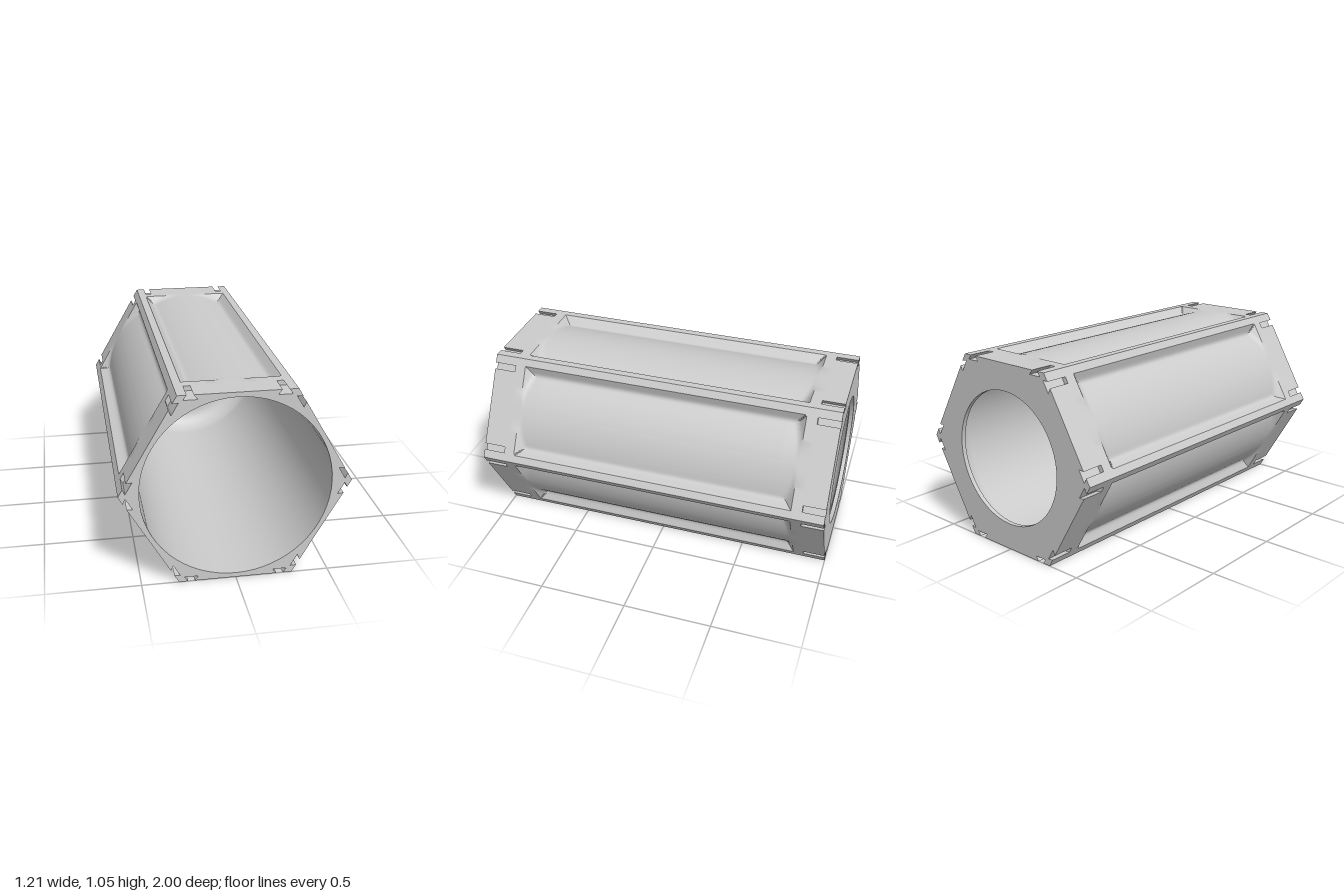
import * as THREE from 'three';
import { toCreasedNormals } from 'three/addons/utils/BufferGeometryUtils.js';

const APOTHEM = 0.525;
const HALF = APOTHEM / Math.sqrt(3);        // half the width of one hexagon side
const BORE = 0.5, LIP = 0.375;
const SLOT_Z = 0.875;                       // inner end of the dovetail slots
const POCKET_T = 0.26, POCKET_Z = 0.815;    // half size of the side pockets
const material = new THREE.MeshStandardMaterial({ color: 0xcccccc });
const faceAngles = Array.from({ length: 6 }, (_, i) => (i + 0.5) * Math.PI / 3);

function mesh(name, geometry, parent) {
  const m = new THREE.Mesh(geometry, material);
  m.name = name;
  parent.add(m);
  return m;
}

// Point on a side face: t along the side, d below its surface
function onFace(a, t, d) {
  const r = APOTHEM - d;
  return new THREE.Vector2(r * Math.cos(a) - t * Math.sin(a), r * Math.sin(a) + t * Math.cos(a));
}

const slotRight = [[0.22, 0], [0.2, 0.026], [0.274, 0.026], [0.255, 0]];
const slotLeft = slotRight.map(([t, d]) => [-t, d]).reverse();

// Hexagon outline with two dovetail slots per side
function slottedOutline() {
  return faceAngles.flatMap(a =>
    [[-HALF, 0], ...slotLeft, ...slotRight].map(([t, d]) => onFace(a, t, d)));
}

// Straight walls along a closed counter-clockwise outline
function wallGeometry(points, z0, z1) {
  const pos = [];
  points.forEach((p, i) => {
    const q = points[(i + 1) % points.length];
    pos.push(p.x, p.y, z0, q.x, q.y, z0, q.x, q.y, z1, p.x, p.y, z0, q.x, q.y, z1, p.x, p.y, z1);
  });
  const g = new THREE.BufferGeometry();
  g.setAttribute('position', new THREE.Float32BufferAttribute(pos, 3));
  g.computeVertexNormals();
  return g;
}

// Slotted end of the body, facing +z
function makeEnd(name, holeRadius) {
  const end = new THREE.Group();
  end.name = name;
  const outline = slottedOutline();
  const shape = new THREE.Shape(outline);
  shape.holes.push(new THREE.Path().absarc(0, 0, holeRadius, 0, Math.PI * 2, true));
  mesh('endFace', new THREE.ShapeGeometry(shape, 32).translate(0, 0, 1), end);
  mesh('endRim', wallGeometry(outline, SLOT_Z, 1), end);
  const slots = faceAngles.flatMap(a =>
    [slotLeft, slotRight].map(s => new THREE.Shape(s.map(([t, d]) => onFace(a, t, d)))));
  mesh('slotEnds', new THREE.ShapeGeometry(slots).translate(0, 0, SLOT_Z), end);
  return end;
}

// Smooth minimum, for the soft foot of the pocket walls
function softMin(a, b, k = 0.02) {
  const h = Math.max(k - Math.abs(a - b), 0) / k;
  return Math.min(a, b) - h * h * k / 4;
}

// Pocket: sloping walls down to a cylindrical floor
function pocketDepth(t, z) {
  const wall = Math.min(POCKET_T - Math.abs(t), POCKET_Z - Math.abs(z));
  if (wall <= 0) return 0;
  const floor = APOTHEM - Math.sqrt(APOTHEM ** 2 - t * t);
  return Math.max(0, softMin(wall, floor));
}

function panelGeometry() {
  const ts = [-HALF], zs = [SLOT_Z];
  for (let i = -26; i <= 26; i++) ts.push(i * 0.01);
  ts.push(HALF);
  for (let i = 0; i <= 10; i++) zs.push(POCKET_Z - i * 0.01);
  zs.push(...zs.map(z => -z).reverse());
  const g = new THREE.PlaneGeometry(1, 1, ts.length - 1, zs.length - 1);
  const p = g.attributes.position;
  for (let i = 0; i < p.count; i++) {
    const t = ts[i % ts.length], z = zs[Math.floor(i / ts.length)];
    p.setXYZ(i, t, z, -pocketDepth(t, z));
  }
  return toCreasedNormals(g, 0.6);
}

// Bore with a rounded shoulder running into a narrower lip at the back
function boreGeometry() {
  const pts = [new THREE.Vector2(BORE, 1)];
  const r = BORE - LIP;
  for (let i = 0; i <= 10; i++) {
    const a = i / 10 * Math.PI / 2;
    pts.push(new THREE.Vector2(LIP + r * Math.cos(a), -0.85 - r * Math.sin(a)));
  }
  pts.push(new THREE.Vector2(LIP, -1));
  return toCreasedNormals(new THREE.LatheGeometry(pts, 64).rotateX(Math.PI / 2), 0.6);
}

export function createModel() {
  const model = new THREE.Group();
  model.name = 'hexagonalTube';
  const body = new THREE.Group();
  body.name = 'body';
  body.position.y = APOTHEM;
  model.add(body);

  // Six recessed side panels
  const panel = panelGeometry();
  faceAngles.forEach((a, i) => {
    const n = new THREE.Vector3(Math.cos(a), Math.sin(a), 0);
    const u = new THREE.Vector3(-Math.sin(a), Math.cos(a), 0);
    const m = new THREE.Matrix4().makeBasis(u, new THREE.Vector3(0, 0, 1), n);
    m.setPosition(n.clone().multiplyScalar(APOTHEM));
    mesh('sidePanel' + (i + 1), panel.clone().applyMatrix4(m), body);
  });

  // Slotted ends
  body.add(makeEnd('frontEnd', BORE));
  const back = makeEnd('backEnd', LIP);
  back.rotation.y = Math.PI;
  body.add(back);

  // Inside of the tube
  const bore = mesh('bore', boreGeometry(), body);
  bore.material = material.clone();
  bore.material.side = THREE.DoubleSide;
  return model;
}
